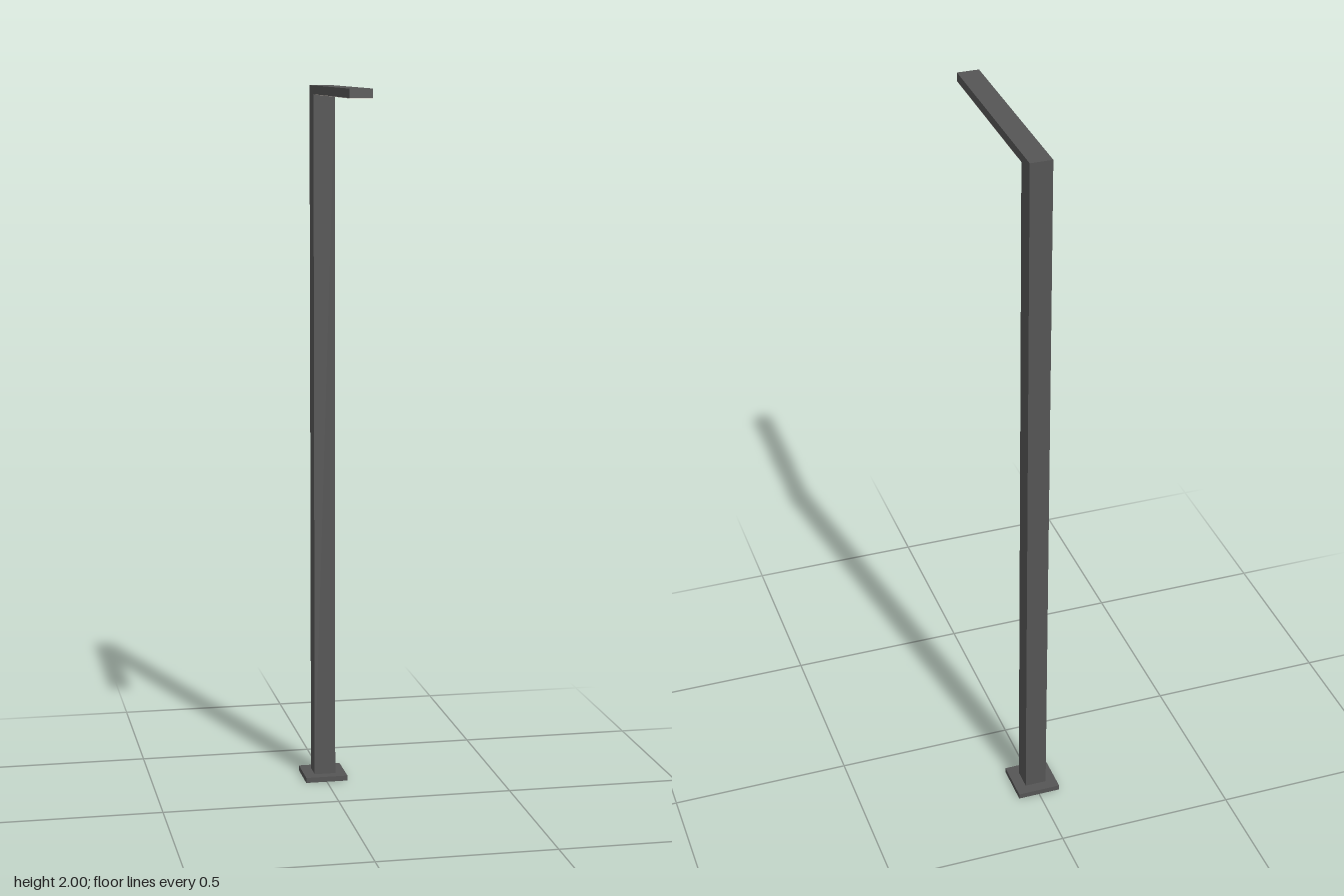
import * as THREE from 'three';

const metal = new THREE.MeshStandardMaterial({ color: 0x555555 });
const diffuser = new THREE.MeshStandardMaterial({ color: 0xd8ccc4 });

// Box given by its lower and upper corners
function block(name, [x0, y0, z0], [x1, y1, z1], material = metal) {
  const mesh = new THREE.Mesh(new THREE.BoxGeometry(x1 - x0, y1 - y0, z1 - z0), material);
  mesh.position.set((x0 + x1) / 2, (y0 + y1) / 2, (z0 + z1) / 2);
  mesh.name = name;
  return mesh;
}

export function createModel() {
  const group = new THREE.Group();
  group.name = 'streetLamp';

  const half = 0.0305; // half width of post and arm
  const postZ = -0.241;
  const baseTop = 0.015;
  const armBottom = 1.976;

  // Square foot plate and post
  group.add(block('basePlate', [-0.061, 0, postZ - 0.061], [0.061, baseTop, postZ + 0.061]));
  group.add(block('post', [-half, baseTop, postZ - half], [half, 2, postZ + half]));

  // Flat arm reaching forward, flush with the top of the post
  group.add(block('arm', [-half, armBottom, postZ + half], [half, 2, 0.302]));

  // Thin light panel under the arm
  group.add(block('lightPanel', [-half, armBottom - 0.001, -0.18], [half, armBottom, 0.302], diffuser));

  return group;
}
